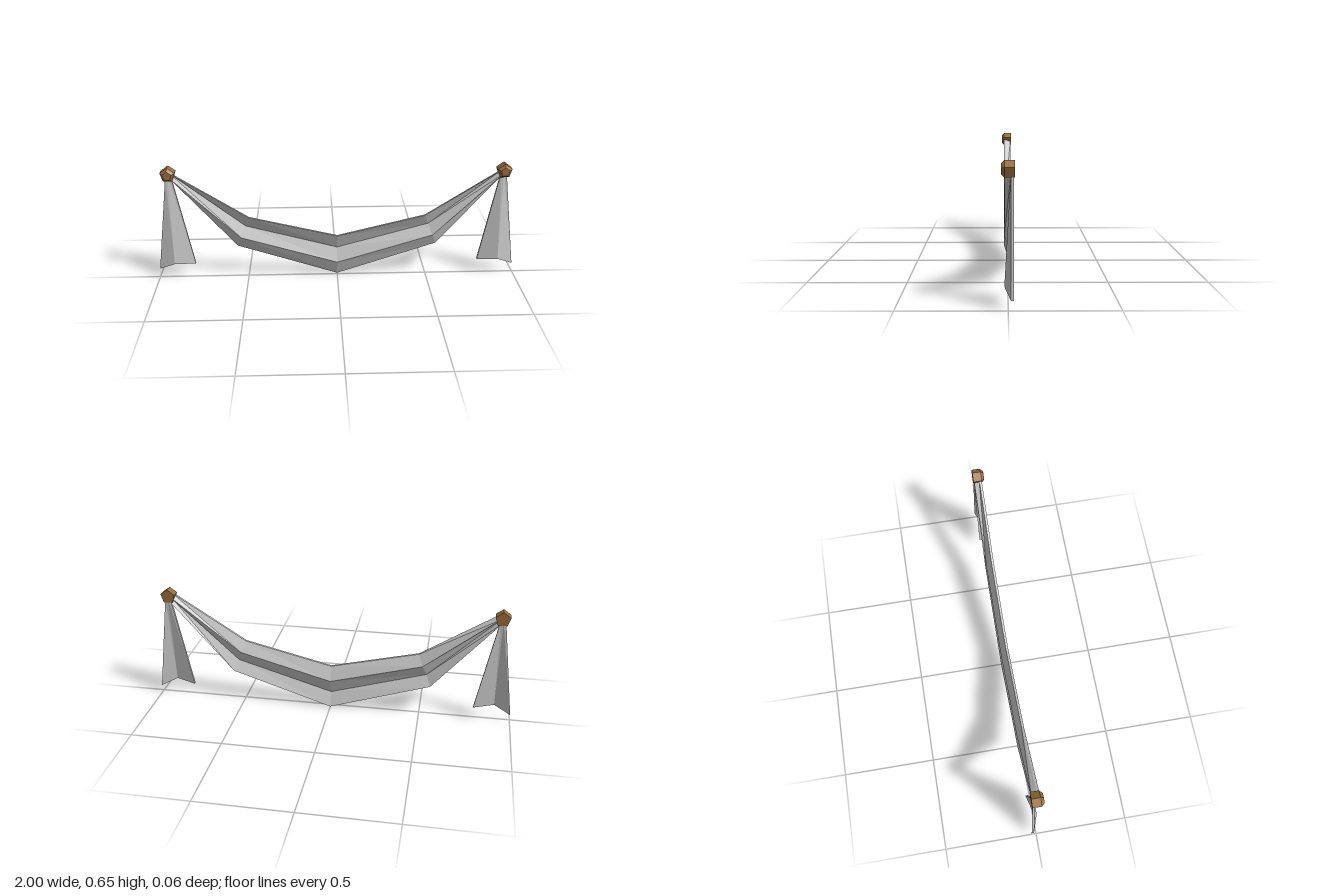
import * as THREE from 'three';

const THICK = 0.013;
const FRONT = 0.017, BACK = -0.012; // depths of the fold crests and valleys

// Closed folded cloth: columns run left to right, points in a column run downwards.
function cloth(name, columns) {
  const pos = [];
  const rear = ([x, y, z]) => [x, y, z - THICK];
  const quad = (a, b, c, d) => pos.push(...a, ...b, ...c, ...a, ...c, ...d);
  const nx = columns.length - 1, ny = columns[0].length - 1;
  for (let i = 0; i < nx; i++) {
    for (let j = 0; j < ny; j++) {
      const a = columns[i][j], b = columns[i][j + 1], c = columns[i + 1][j + 1], d = columns[i + 1][j];
      quad(a, b, c, d);
      quad(rear(d), rear(c), rear(b), rear(a));
    }
  }
  // hem around the outline, counter-clockwise from the front
  const rim = [...columns[0]];
  for (let i = 1; i <= nx; i++) rim.push(columns[i][ny]);
  for (let j = ny - 1; j >= 0; j--) rim.push(columns[nx][j]);
  for (let i = nx - 1; i > 0; i--) rim.push(columns[i][0]);
  rim.forEach((p, k) => {
    const q = rim[(k + 1) % rim.length];
    quad(p, rear(p), rear(q), q);
  });
  const geo = new THREE.BufferGeometry();
  geo.setAttribute('position', new THREE.Float32BufferAttribute(pos, 3));
  geo.computeVertexNormals();
  const mesh = new THREE.Mesh(geo, new THREE.MeshStandardMaterial({ color: 0xcccccc, flatShading: true }));
  mesh.name = name;
  return mesh;
}

// Five-sided knob with a bevelled front
function knob(name, x) {
  const group = new THREE.Group();
  group.name = name;
  const mat = new THREE.MeshStandardMaterial({ color: 0x9a6e3a, flatShading: true });
  const part = (label, rFront, rBack, z0, z1) => {
    const geo = new THREE.CylinderGeometry(rFront, rBack, z1 - z0, 5);
    geo.rotateY(Math.PI).rotateX(Math.PI / 2); // axis to +z, corner up
    const mesh = new THREE.Mesh(geo, mat);
    mesh.position.z = (z0 + z1) / 2;
    mesh.name = label;
    group.add(mesh);
  };
  part('knobBody', 0.0415, 0.0415, -0.03, 0.016);
  part('knobBevel', 0.0255, 0.0415, 0.016, 0.032);
  group.position.set(x, 0.6115, 0);
  return group;
}

export function createModel() {
  const group = new THREE.Group();

  // Swag: pleated column at the middle, halfway out and at the knob
  const pleat = (top, bottom) => [0, 1, 2, 3].map((j) => [
    THREE.MathUtils.lerp(top[0], bottom[0], j / 3),
    THREE.MathUtils.lerp(top[1], bottom[1], j / 3),
    j % 2 ? BACK : FRONT,
  ]);
  const middle = pleat([0, 0.243], [0, 0]);
  const half = [
    pleat([0.485, 0.36], [0.555, 0.18]),
    pleat([0.895, 0.622], [0.912, 0.592]),
  ];
  const mirror = (column) => column.map(([x, y, z]) => [-x, y, z]);
  group.add(cloth('swag', [mirror(half[1]), mirror(half[0]), middle, ...half]));

  // Hanging tails: inner edge, centre crease, outer edge
  const tail = [
    [[0.898, 0.6, BACK], [0.797, 0.073, BACK]],
    [[0.912, 0.6, BACK], [0.91, 0.085, FRONT]],
    [[0.926, 0.6, BACK], [1.0, 0.045, BACK]],
  ];
  group.add(cloth('leftTail', tail));
  group.add(cloth('rightTail', tail.map(mirror).reverse()));

  group.add(knob('leftKnob', 0.91), knob('rightKnob', -0.91));
  return group;
}
